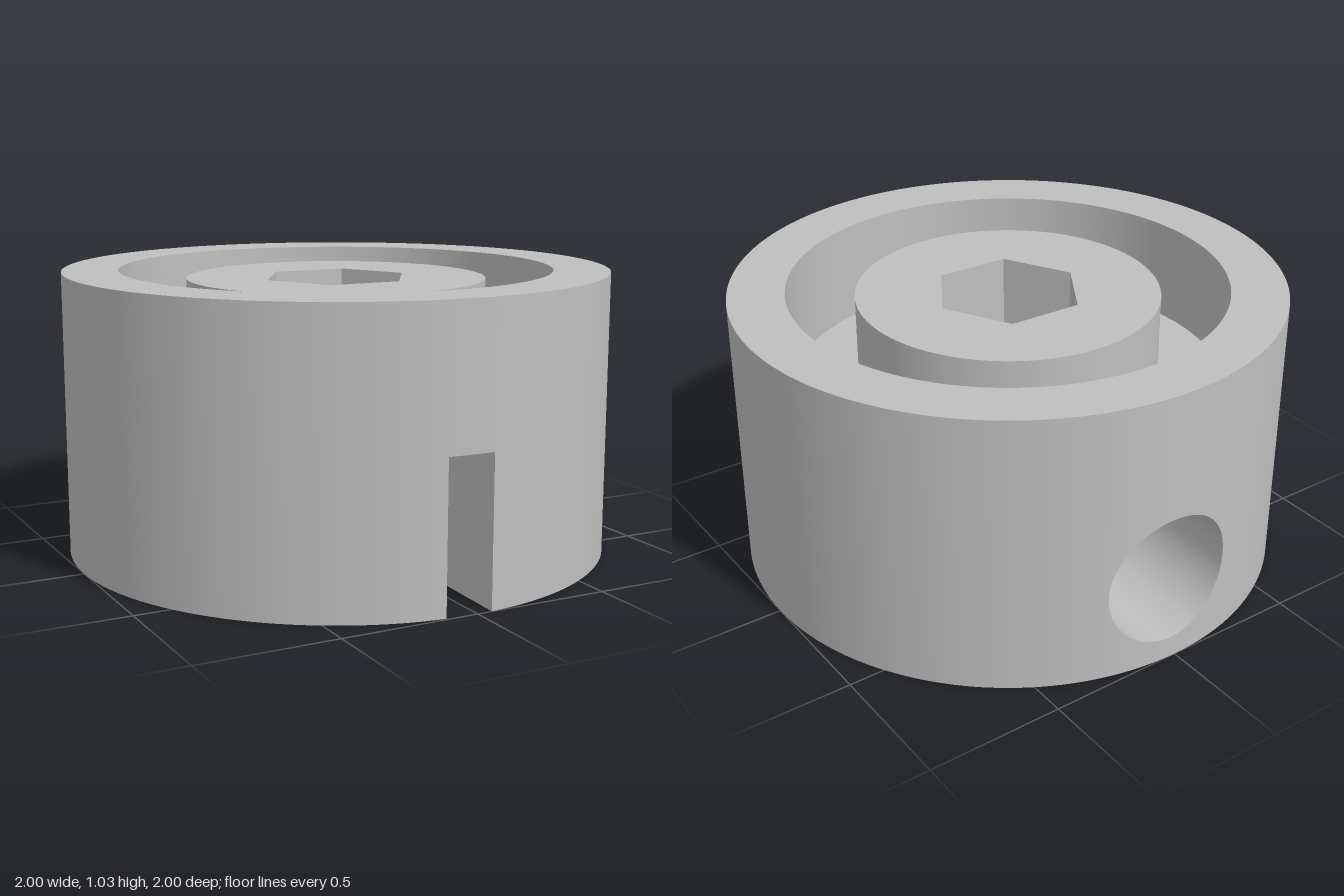
import * as THREE from 'three';

const H = 1.035, BOSS_TOP = 1.0, FLOOR = 0.655;      // heights
const GROOVE_R = 0.795, BOSS_R = 0.55, HEX_R = 0.275, BORE_R = 0.145;
const SLOT_W = 0.085, SLOT_H = 0.535, INNER_Z = 0.335; // half width, height, inner end
const HOLE_R = 0.243, HOLE_Y = 0.325;
const SEG = 128;

export function createModel() {
  const group = new THREE.Group();
  const grey = new THREE.MeshStandardMaterial({ color: 0xbfbfbf, side: THREE.DoubleSide });
  grey.name = 'light grey';

  function add(name, geometry, x = 0, y = 0, z = 0) {
    const mesh = new THREE.Mesh(geometry, grey);
    mesh.name = name;
    mesh.position.set(x, y, z);
    group.add(mesh);
  }

  // Strip between two rails; f(t) returns a point on each rail
  function ribbon(name, n, f, flat = false) {
    const pos = [], idx = [];
    for (let i = 0; i <= n; i++) {
      const [a, b] = f(i / n);
      pos.push(...a, ...b);
      if (i < n) idx.push(2 * i, 2 * i + 2, 2 * i + 1, 2 * i + 1, 2 * i + 2, 2 * i + 3);
    }
    let g = new THREE.BufferGeometry();
    g.setAttribute('position', new THREE.Float32BufferAttribute(pos, 3));
    g.setIndex(idx);
    if (flat) g = g.toNonIndexed();
    g.computeVertexNormals();
    add(name, g);
  }

  // One turned face from (r1, y1) to (r2, y2)
  const turn = (name, r1, y1, r2, y2) =>
    add(name, new THREE.LatheGeometry([new THREE.Vector2(r1, y1), new THREE.Vector2(r2, y2)], SEG));

  // Piece of the outer wall between two angles measured from the front
  const wall = (name, n, from, to, low) => ribbon(name, n, t => {
    const a = from + (to - from) * t, x = Math.sin(a), z = Math.cos(a);
    return [[x, low, z], [x, H, z]];
  });

  const circle = (path, r) => path.absarc(0, 0, r, 0, Math.PI * 2);
  const hexPoint = k => [HEX_R * Math.cos(k * Math.PI / 3), HEX_R * Math.sin(k * Math.PI / 3)];
  const hexPoints = () => [0, 1, 2, 3, 4, 5].map(k => new THREE.Vector2(...hexPoint(k)));

  // Outer wall, interrupted by the slot and the cross hole
  const slotA = Math.asin(SLOT_W), holeA = Math.asin(HOLE_R);
  wall('wallAboveSlot', 6, -slotA, slotA, SLOT_H);
  wall('wallLeft', 64, slotA, Math.PI - holeA, 0);
  wall('wallRight', 64, Math.PI + holeA, 2 * Math.PI - slotA, 0);
  const holeEdge = (t, side) => {
    const x = HOLE_R * Math.cos(Math.PI * t);
    return [x, HOLE_Y + side * HOLE_R * Math.sin(Math.PI * t), -Math.sqrt(1 - x * x)];
  };
  ribbon('wallBelowHole', 32, t => {
    const p = holeEdge(t, -1);
    return [[p[0], 0, p[2]], p];
  });
  ribbon('wallAboveHole', 32, t => {
    const p = holeEdge(t, 1);
    return [p, [p[0], H, p[2]]];
  });

  // Blind cross hole at the back
  ribbon('crossHole', 64, t => {
    const p = holeEdge(2 * t, 1);
    return [[p[0], p[1], -INNER_Z], p];
  });
  add('crossHoleEnd', new THREE.CircleGeometry(HOLE_R, 64).rotateY(Math.PI), 0, HOLE_Y, -INNER_Z);

  // Slot at the front
  const slotLength = Math.cos(slotA) - INNER_Z;
  for (const s of [-1, 1]) {
    add(s > 0 ? 'slotSideLeft' : 'slotSideRight',
      new THREE.PlaneGeometry(slotLength, SLOT_H).rotateY(-s * Math.PI / 2),
      s * SLOT_W, SLOT_H / 2, INNER_Z + slotLength / 2);
  }
  add('slotEnd', new THREE.PlaneGeometry(2 * SLOT_W, SLOT_H), 0, SLOT_H / 2, INNER_Z);
  ribbon('slotCeiling', 6, t => {
    const a = slotA * (2 * t - 1), x = Math.sin(a);
    return [[x, SLOT_H, INNER_Z], [x, SLOT_H, Math.cos(a)]];
  });

  // Rim, ring groove and raised boss
  turn('rim', 1, H, GROOVE_R, H);
  turn('grooveWall', GROOVE_R, H, GROOVE_R, FLOOR);
  turn('grooveFloor', GROOVE_R, FLOOR, BOSS_R, FLOOR);
  turn('bossWall', BOSS_R, FLOOR, BOSS_R, BOSS_TOP);
  const bossTop = circle(new THREE.Shape(), BOSS_R);
  bossTop.holes.push(new THREE.Path(hexPoints()).closePath());
  add('bossTop', new THREE.ShapeGeometry(bossTop, SEG).rotateX(-Math.PI / 2), 0, BOSS_TOP);

  // Hexagonal recess and centre bore
  ribbon('hexWall', 6, t => {
    const [x, z] = hexPoint(Math.round(t * 6));
    return [[x, FLOOR, z], [x, BOSS_TOP, z]];
  }, true);
  const hexFloor = new THREE.Shape(hexPoints());
  hexFloor.holes.push(circle(new THREE.Path(), BORE_R));
  add('hexFloor', new THREE.ShapeGeometry(hexFloor, 64).rotateX(-Math.PI / 2), 0, FLOOR);
  turn('bore', BORE_R, FLOOR, BORE_R, 0);

  // Underside with slot notch and bore
  const base = new THREE.Shape();
  base.absarc(0, 0, 1, Math.PI / 2 + slotA, 2.5 * Math.PI - slotA);
  base.lineTo(SLOT_W, INNER_Z);
  base.lineTo(-SLOT_W, INNER_Z);
  base.closePath();
  base.holes.push(circle(new THREE.Path(), BORE_R));
  add('underside', new THREE.ShapeGeometry(base, SEG).rotateX(Math.PI / 2));

  group.rotation.y = -0.03;
  const model = new THREE.Group();
  group.name = 'slottedHub';
  model.add(group);
  return model;
}
